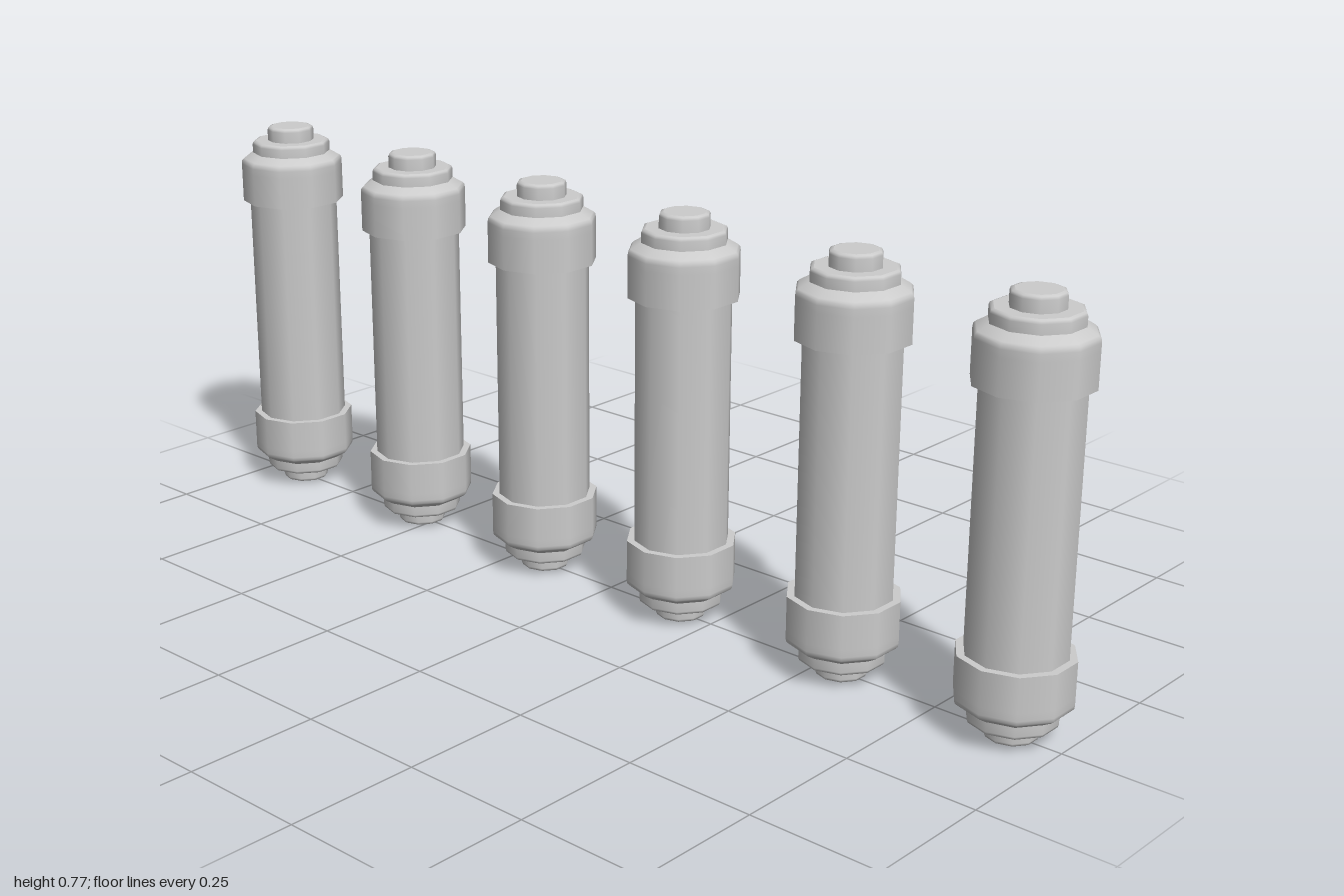
import * as THREE from 'three';
import { mergeGeometries } from 'three/addons/utils/BufferGeometryUtils.js';

const SIDES = 10;
const HEIGHT = 0.773;
const ROW_Z = [0.902, 0.55, 0.176, -0.176, -0.531, -0.902];
const material = new THREE.MeshStandardMaterial({ color: 0xcccccc });

// Ten-sided turned shape; each run of [radius, y] is smooth, runs meet in hard edges.
function turned(...runs) {
  return mergeGeometries(runs.map((run) => new THREE.LatheGeometry(
    run.map(([r, y]) => new THREE.Vector2(r, y)), SIDES, Math.PI / 2)));
}

function part(name, geometry) {
  const mesh = new THREE.Mesh(geometry, material);
  mesh.name = name;
  return mesh;
}

// Profiles for the lower end, listed from the bottom up
const knob = turned([[0, 0], [0.039, 0]], [[0.039, 0], [0.045, 0.002], [0.047, 0.007], [0.047, 0.031]]);
const ring = turned([[0.035, 0.029], [0.072, 0.029]], [[0.072, 0.029], [0.077, 0.031], [0.079, 0.036], [0.079, 0.055]]);
const cap = turned(
  [[0.07, 0.052], [0.078, 0.053], [0.098, 0.065], [0.102, 0.069], [0.103, 0.076], [0.103, 0.09]],
  [[0.103, 0.09], [0.103, 0.154]],
  [[0.103, 0.154], [0.084, 0.154]],
);
const body = turned([[0.089, 0.1], [0.089, HEIGHT - 0.1]]);

function makeEnd(name) {
  const end = new THREE.Group();
  end.name = name;
  end.add(part('knob', knob), part('steppedRing', ring), part('collar', cap));
  return end;
}

function makeCapsule(index) {
  const capsule = new THREE.Group();
  capsule.name = `capsule${index + 1}`;
  const top = makeEnd('topEnd');
  top.rotation.x = Math.PI;
  top.position.y = HEIGHT;
  capsule.add(part('body', body), makeEnd('bottomEnd'), top);
  return capsule;
}

export function createModel() {
  const model = new THREE.Group();
  model.name = 'capsuleRow';
  // Six identical capsules standing in a row from front to back
  ROW_Z.forEach((z, i) => {
    const capsule = makeCapsule(i);
    capsule.position.z = z;
    model.add(capsule);
  });
  return model;
}
